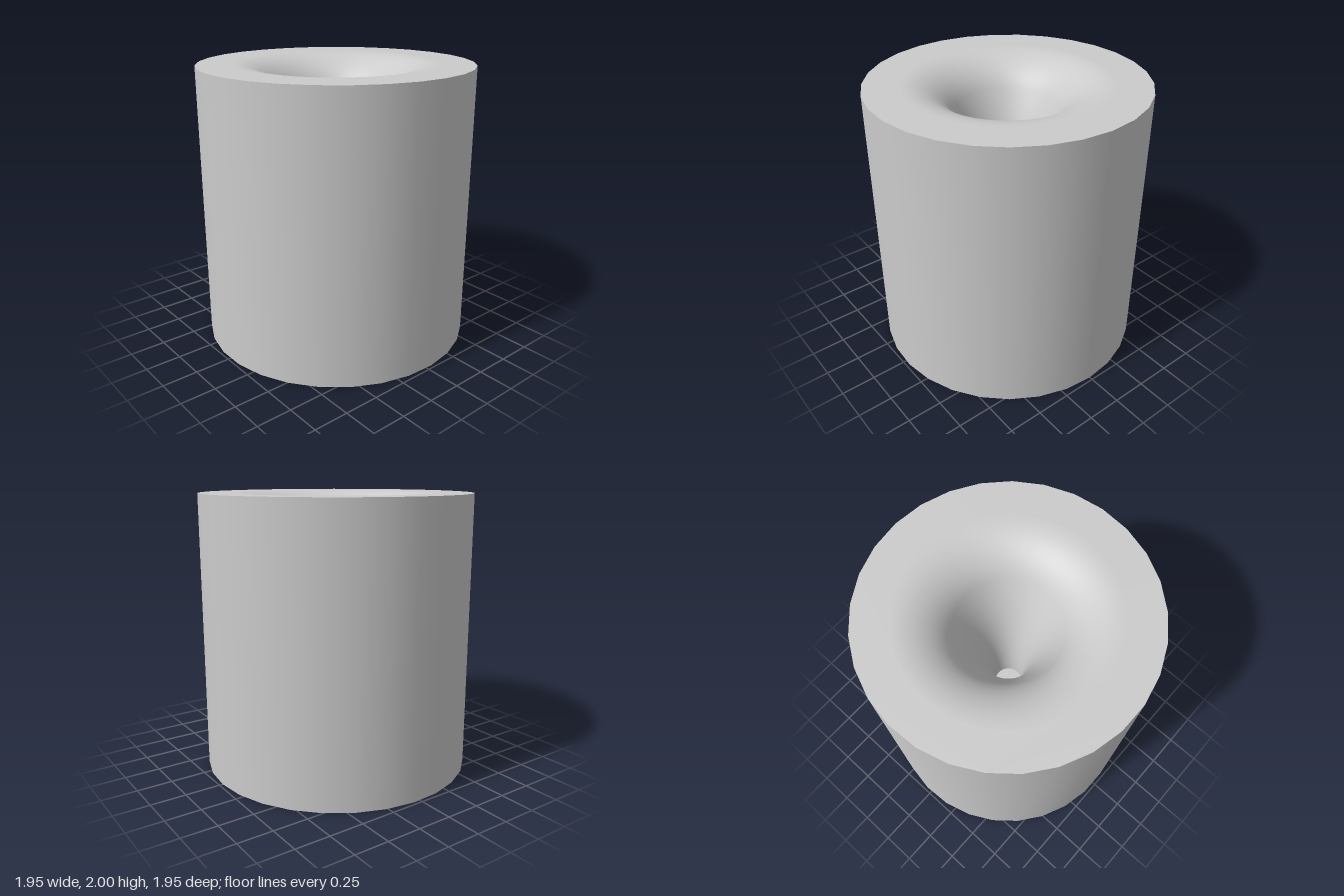
import * as THREE from 'three';

const RADIUS = 0.978, HEIGHT = 2, SIDES = 29;
const RIM = 0.72, ARC = 0.4, THROAT = 0.37, BORE = 0.1, ROUND = 64;

const ring = (r, n) => Array.from({ length: n }, (_, i) => {
  const a = (i / n) * Math.PI * 2;
  return new THREE.Vector2(r * Math.cos(a), r * Math.sin(a));
});

// Funnel profile, from the rim inward and down: rounded lip, then steepening throat
function funnelProfile() {
  const points = [];
  const endAngle = Math.asin((RIM - THROAT) / ARC);
  for (let i = 0; i <= 16; i++) {
    const a = (endAngle * i) / 16;
    points.push(new THREE.Vector2(RIM - ARC * Math.sin(a), HEIGHT - ARC * (1 - Math.cos(a))));
  }
  const lip = points[points.length - 1];
  const throat = new THREE.QuadraticBezierCurve(
    lip.clone(),
    new THREE.Vector2(BORE, lip.y - (THROAT - BORE) * Math.tan(endAngle)),
    new THREE.Vector2(BORE, HEIGHT - 1.2)
  );
  return points.concat(throat.getPoints(20).slice(1));
}

export function createModel() {
  const group = new THREE.Group();
  const material = new THREE.MeshStandardMaterial({ color: 0xcccccc });
  const add = (name, geometry) => {
    const mesh = new THREE.Mesh(geometry, material);
    mesh.name = name;
    group.add(mesh);
    return mesh;
  };

  // Outer wall, with a corner on +x
  add('outerWall', new THREE.CylinderGeometry(RADIUS, RADIUS, HEIGHT, SIDES, 1, true, Math.PI / 2)
    .translate(0, HEIGHT / 2, 0));

  // Flat top around the funnel
  const top = new THREE.Shape(ring(RADIUS, SIDES));
  top.holes.push(new THREE.Path(ring(RIM, ROUND)));
  add('topFace', new THREE.ShapeGeometry(top).rotateX(-Math.PI / 2).translate(0, HEIGHT, 0));

  // Closed base
  add('base', new THREE.CircleGeometry(RADIUS, SIDES).rotateX(Math.PI / 2));

  // Funnel and the small floor at its end
  add('funnel', new THREE.LatheGeometry(funnelProfile(), ROUND));
  add('funnelFloor', new THREE.CircleGeometry(BORE, ROUND).rotateX(-Math.PI / 2)
    .translate(0, HEIGHT - 1.2, 0));

  // Centre the odd-sided outline on x
  group.children.forEach((m) => { m.position.x = -0.003; });
  return group;
}
